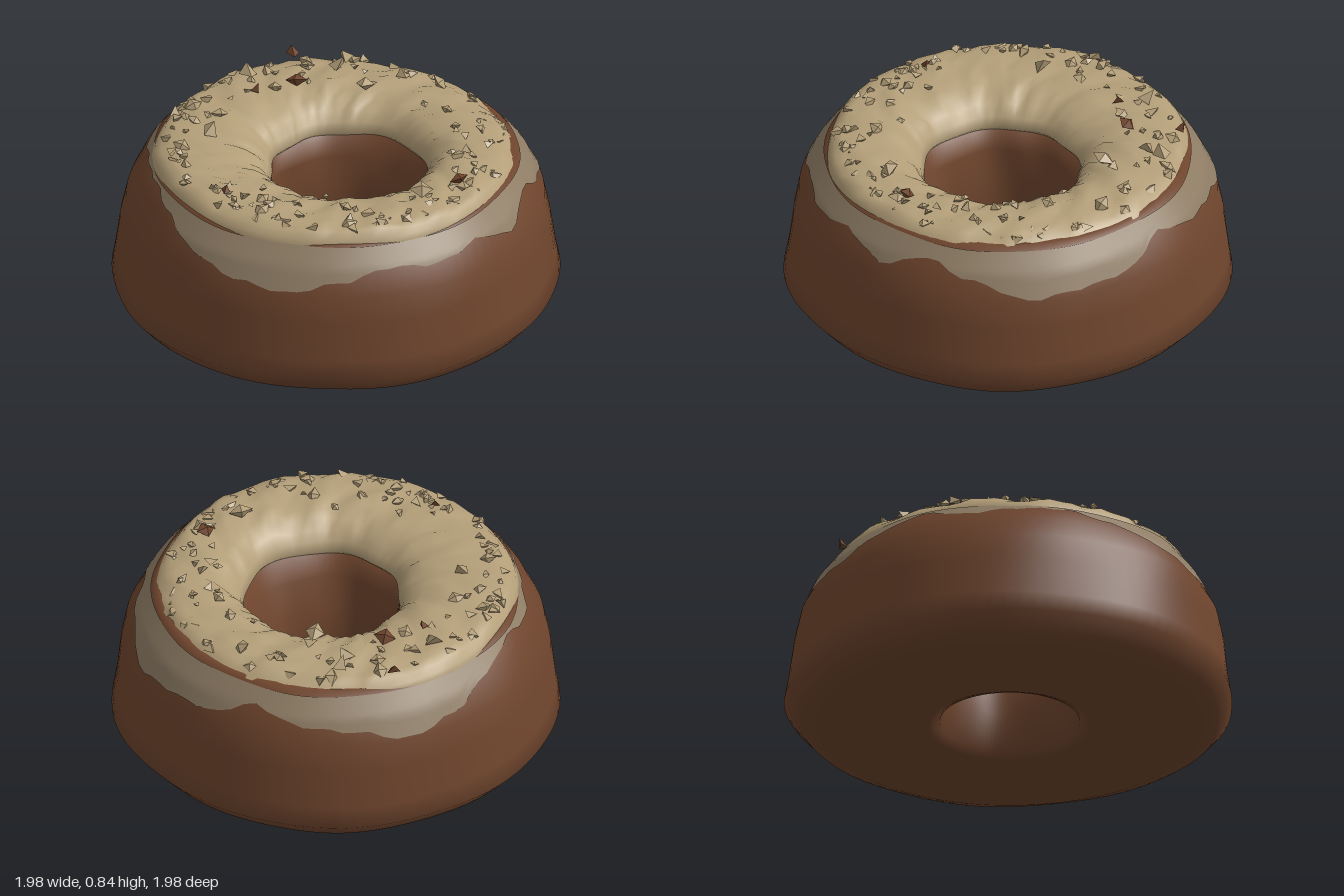
import * as THREE from 'three';
import { mergeGeometries } from 'three/addons/utils/BufferGeometryUtils.js';

const COLS = 96;

function seeded(seed) {
  return () => {
    seed = (seed * 16807) % 2147483647;
    return seed / 2147483647;
  };
}

// Rings of points around the y axis; point(row, angle, col) returns [radius, height]
function ringLoft(rows, closed, point) {
  const pos = [], index = [];
  for (let i = 0; i < rows; i++) {
    for (let j = 0; j < COLS; j++) {
      const a = (j / COLS) * Math.PI * 2;
      const [r, y] = point(i, a, j);
      pos.push(r * Math.cos(a), y, r * Math.sin(a));
    }
  }
  for (let i = 0; i < (closed ? rows : rows - 1); i++) {
    for (let j = 0; j < COLS; j++) {
      const n = ((i + 1) % rows) * COLS, k = (j + 1) % COLS, m = i * COLS;
      index.push(m + j, n + j, m + k, n + j, n + k, m + k);
    }
  }
  const g = new THREE.BufferGeometry();
  g.setAttribute('position', new THREE.Float32BufferAttribute(pos, 3));
  g.setIndex(index);
  g.computeVertexNormals();
  return g;
}

// Slight unevenness of the hand-made outer wall
const wobble = (a, y) => 0.005 * Math.sin(5 * a + 1) + 0.004 * Math.sin(9 * a + 6 * y) - 0.004;

// Off-centre opening of the topping
const lip = (a) => 0.343 + 0.05 * Math.cos(a) + 0.035 * Math.sin(a) + 0.008 * Math.sin(7 * a);

// Outer wall, bottom to shoulder
const WALL = [[0.93, 0.05], [0.995, 0.125], [0.978, 0.22], [0.955, 0.4], [0.93, 0.52], [0.875, 0.63], [0.815, 0.705]];

function wallRadius(y) {
  let k = 0;
  while (k < WALL.length - 2 && y > WALL[k + 1][1]) k++;
  const [[r0, y0], [r1, y1]] = [WALL[k], WALL[k + 1]];
  return r0 + ((r1 - r0) * (y - y0)) / (y1 - y0);
}

// Lower edge of the glaze every 15 degrees, from +x towards +z
const DRIP = [0.53, 0.6, 0.66, 0.58, 0.64, 0.61, 0.63, 0.58, 0.53, 0.55, 0.6, 0.66,
  0.7, 0.69, 0.66, 0.7, 0.65, 0.57, 0.53, 0.58, 0.6, 0.65, 0.56, 0.55];

function dripHeight(a) {
  const t = (a / (Math.PI * 2)) * DRIP.length, k = Math.floor(t), f = t - k;
  const s = f * f * (3 - 2 * f);
  const y = DRIP[k % 24] * (1 - s) + DRIP[(k + 1) % 24] * s;
  return Math.min(0.7, y + 0.006 * Math.sin(31 * a));
}

// Topping section: fraction from outer edge (1) to opening (0), and height
const CREST = [[1.01, 0.675], [1.01, 0.705], [0.985, 0.735], [0.93, 0.763], [0.85, 0.775], [0.76, 0.78], [0.66, 0.783],
  [0.55, 0.783], [0.44, 0.778], [0.33, 0.768], [0.22, 0.75], [0.12, 0.722], [0.04, 0.68], [0, 0.635], [0.06, 0.6]];

export function createModel() {
  const group = new THREE.Group();
  const material = (name, color) => new THREE.MeshStandardMaterial({ name, color });
  const brown = material('brown dough', 0x6f452d);
  const grey = material('grey beige glaze', 0x8f7d65);
  const tan = material('tan topping', 0xb39e78);
  const add = (name, geometry, mat) => {
    const mesh = new THREE.Mesh(geometry, mat);
    mesh.name = name;
    group.add(mesh);
  };
  const rand = seeded(417);

  // Dough: underside, outer wall, hidden top and hole wall as one closed ring
  const under = [[0.31, 0.03], [0.36, 0.01], [0.7, 0.005], [0.85, 0.02]];
  const cover = [[0.78, 0.73], [0.6, 0.74], [0.5, 0.725]];
  const hole = [[1, 0.63, 0.015], [0.65, 0.52, 0], [0.2, 0.38, 0], [0, 0.2, 0]];
  const section = [...under, ...WALL, ...cover];
  add('dough', ringLoft(section.length + hole.length, true, (i, a) => {
    if (i < section.length) {
      const [r, y] = section[i];
      const onWall = i >= under.length && i < under.length + WALL.length;
      return [r + (onWall ? wobble(a, y) : 0), y];
    }
    const [mix, y, inset] = hole[i - section.length];
    return [0.28 * (1 - mix) + lip(a) * mix + inset + 0.006 * Math.sin(6 * a + 5 * y), y];
  }), brown);

  // Glaze: thin skin with an uneven dripping edge
  add('glaze', ringLoft(9, false, (i, a) => {
    const y0 = dripHeight(a), y = y0 + (0.712 - y0) * (i / 8);
    return [wallRadius(y) + wobble(a, y) + 0.006, y];
  }), grey);

  // Topping: lumpy cap rolling over into the opening
  const lump = (a, f) => Math.sin(11 * a + 9 * f) * Math.sin(17 * f - 5 * a) * 0.009;
  add('topping', ringLoft(CREST.length, false, (i, a) => {
    const [f, h] = CREST[i];
    const rough = i > 2 && i < 12 ? lump(a, f) + (rand() - 0.5) * 0.016 : 0;
    const outer = 0.8 + 0.006 * Math.sin(6 * a);
    const sag = -0.03 * Math.max(0, Math.cos(a + 0.3)) * f * f * (i > 1 ? 1 : 0);
    return [lip(a) + (outer - lip(a)) * f, h + rough + sag];
  }), tan);

  // Crumbs: small angular flakes half sunk into the topping
  const crumb = (x, z, size, y = 0.785) => {
    const Shape = rand() < 0.55 ? THREE.TetrahedronGeometry : THREE.OctahedronGeometry;
    const g = new Shape(size, 0);
    g.scale(1, 0.55, 0.8);
    g.rotateX((rand() - 0.5) * 1.4);
    g.rotateZ((rand() - 0.5) * 1.4);
    g.rotateY(rand() * 6.28);
    return g.translate(x, y, z);
  };
  const flakes = [];
  for (let i = 0; i < 150; i++) {
    const a = rand() * Math.PI * 2, r = 0.47 + 0.29 * Math.sqrt(rand());
    const drop = r > 0.7 ? 0.012 + 0.03 * Math.max(0, Math.cos(a)) : 0;
    flakes.push(crumb(r * Math.cos(a), r * Math.sin(a), 0.02 + 0.025 * rand(), 0.787 - drop));
  }
  // A few taller flakes
  for (const [x, z] of [[0.23, -0.66], [0.18, -0.6], [-0.22, -0.64], [0.25, -0.4], [-0.52, -0.2], [0.24, 0.55]]) {
    flakes.push(crumb(x, z, 0.055, 0.81));
  }
  add('crumbs', mergeGeometries(flakes), tan);

  // Dark crumbs
  const dark = [[-0.03, -0.53, 0.05], [-0.22, -0.51, 0.035], [0.43, 0.49, 0.045], [-0.59, 0.31, 0.03], [0.02, -0.77, 0.04]];
  add('darkCrumbs', mergeGeometries(dark.map(([x, z, s]) => crumb(x, z, s, 0.8))), brown);

  return group;
}
